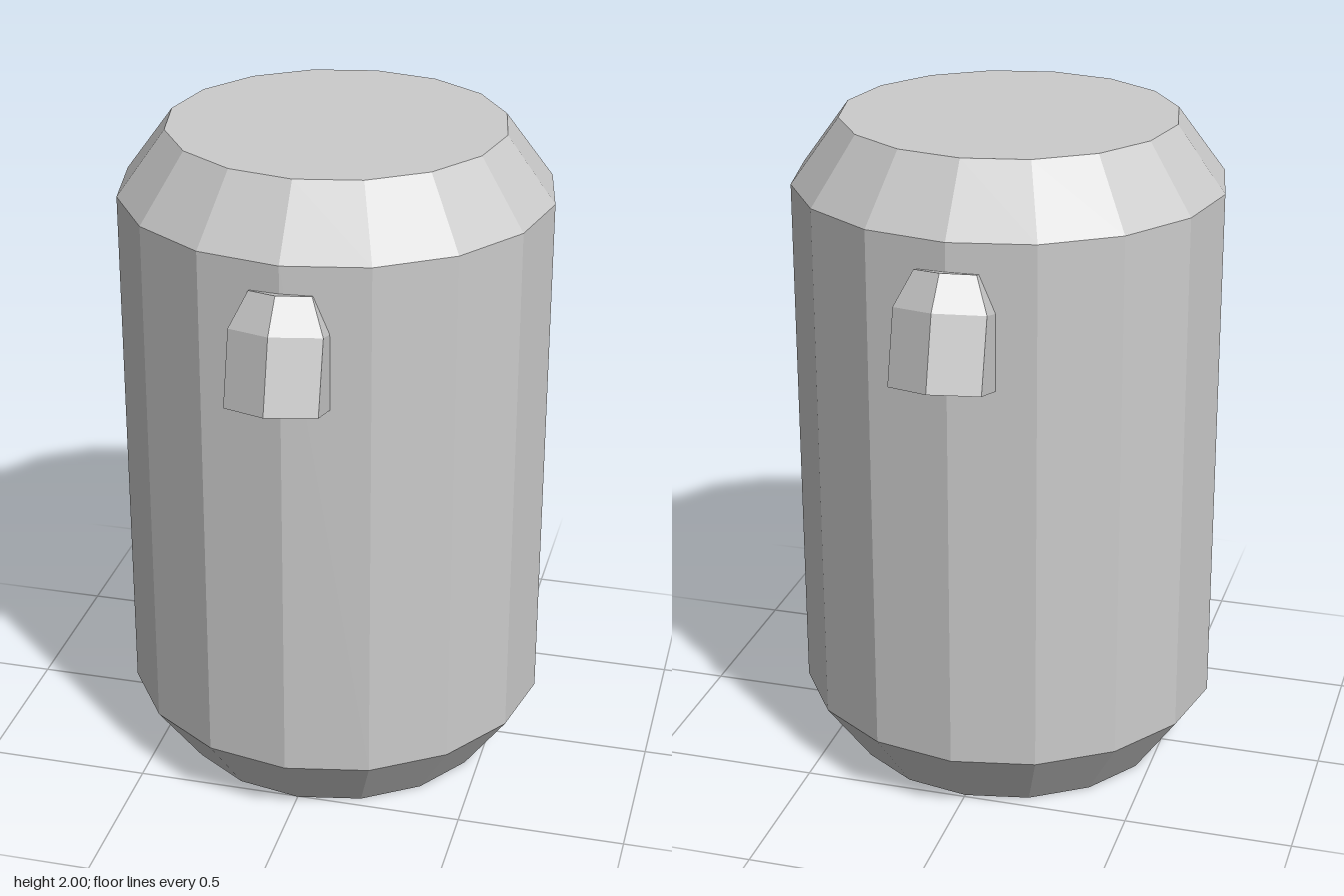
import * as THREE from 'three';

const material = new THREE.MeshStandardMaterial({ color: 0xcccccc, flatShading: true });

// Spins a closed [radius, height] profile into a faceted solid
function turned(name, profile, sides) {
  const points = profile.map(([r, y]) => new THREE.Vector2(r, y));
  const mesh = new THREE.Mesh(new THREE.LatheGeometry(points, sides), material);
  mesh.name = name;
  return mesh;
}

export function createModel() {
  const model = new THREE.Group();
  model.name = 'barrel';

  // Sixteen-sided body with bevelled ends
  const body = turned('body', [[0, 0], [0.497, 0], [0.64, 0.2], [0.64, 1.805], [0.497, 2], [0, 2]], 16);
  body.position.z = 0.006;
  model.add(body);

  // Hexagonal lugs on front and back, leaning in towards the body
  for (const [name, turn] of [['frontLug', 0], ['backLug', Math.PI]]) {
    const lug = turned(name, [[0, 0], [0.154, 0], [0.154, 0.219], [0.103, 0.324], [0, 0.324]], 6);
    lug.position.set(0, 1.396, 0.671);
    lug.rotation.x = -THREE.MathUtils.degToRad(15);
    const side = new THREE.Group();
    side.name = name + 'Mount';
    side.rotation.y = turn;
    side.add(lug);
    model.add(side);
  }
  return model;
}
